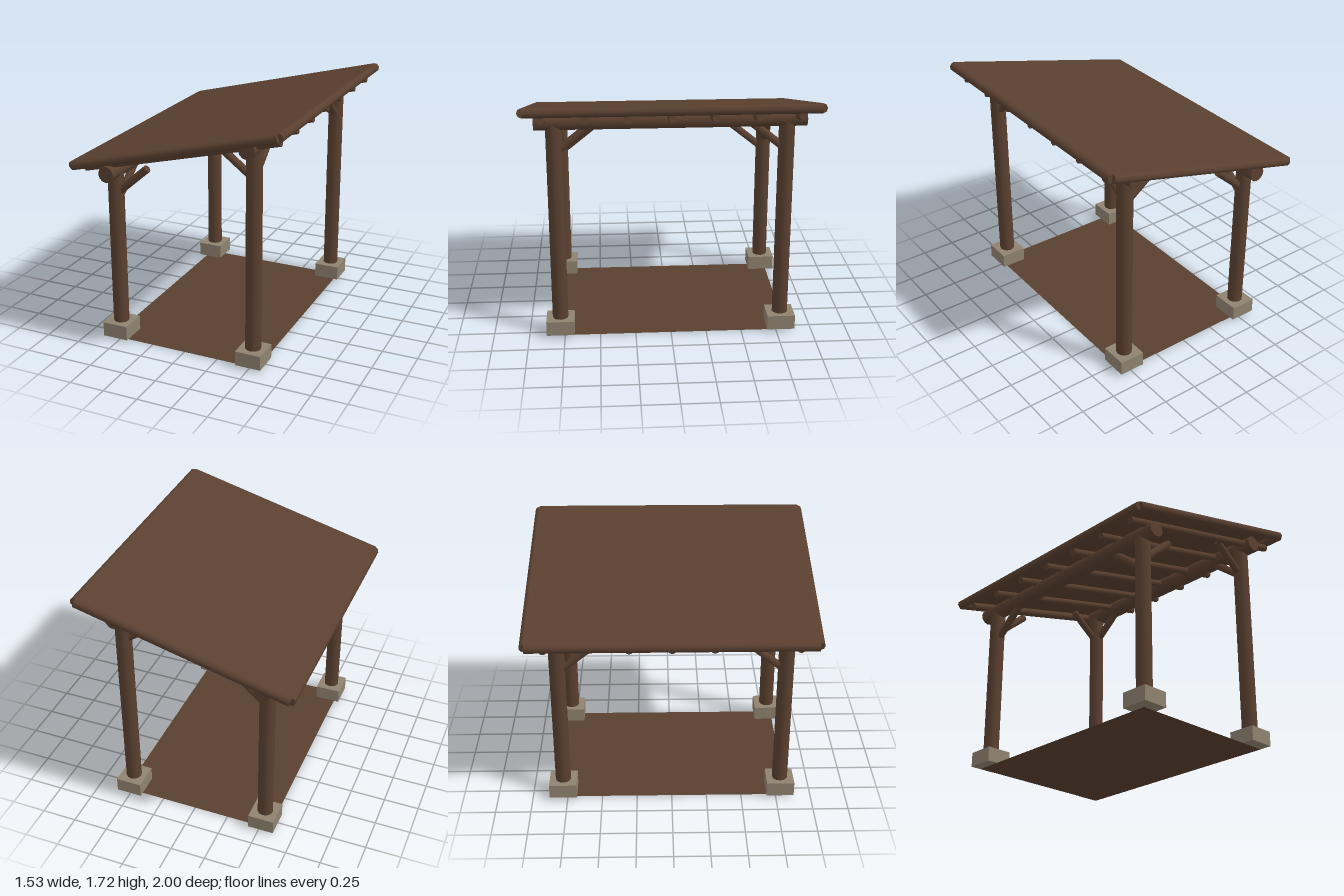
import * as THREE from 'three';

const wood = new THREE.MeshStandardMaterial({ color: 0x5a4030, side: THREE.DoubleSide });
wood.name = 'wood';
const stone = new THREE.MeshStandardMaterial({ color: 0x8f8370 });
stone.name = 'stone';

const UP = new THREE.Vector3(0, 1, 0);

// Round timber between two points
function log(parent, name, from, to, radius, sides = 8) {
  const a = new THREE.Vector3(...from);
  const b = new THREE.Vector3(...to);
  const dir = b.clone().sub(a);
  const mesh = new THREE.Mesh(new THREE.CylinderGeometry(radius, radius, dir.length(), sides), wood);
  mesh.name = name;
  mesh.position.copy(a).add(b).multiplyScalar(0.5);
  mesh.quaternion.setFromUnitVectors(UP, dir.normalize());
  parent.add(mesh);
}

export function createModel() {
  const model = new THREE.Group();
  model.name = 'leanToShelter';

  // Low side and high side: post x, beam height, brace ends
  const rows = [
    { side: 'low', x: -0.52, beamY: 1.255, braceY: 1.08, braceTip: [-0.275, 1.293], sideBraceY: 1.01 },
    { side: 'high', x: 0.5, beamY: 1.56, braceY: 1.335, braceTip: [0.25, 1.525], sideBraceY: 1.34 },
  ];
  const postZ = 0.78;

  for (const { side, x, beamY, braceY, braceTip, sideBraceY } of rows) {
    log(model, side + 'Beam', [x, beamY, -0.91], [x, beamY, 0.91], 0.057, 12);
    for (const s of [1, -1]) {
      const z = s * postZ;
      const footing = new THREE.Mesh(new THREE.BoxGeometry(0.185, 0.104, 0.195), stone);
      footing.name = side + 'Footing';
      footing.position.set(x, 0.072, z);
      model.add(footing);

      log(model, side + 'Post', [x, 0.11, z], [x, beamY, z], 0.055, 12);
      // Braces across the slope and along the beam
      log(model, side + 'CrossBrace', [x, braceY, z], [...braceTip, z], 0.027);
      log(model, side + 'BeamBrace', [x, sideBraceY, z], [x, sideBraceY + 0.24, s * 0.48], 0.027);
    }
  }

  // Rafters
  for (let i = 0; i < 7; i++) {
    const z = -0.85 + (i * 1.7) / 6;
    log(model, 'rafter', [-0.705, 1.267, z], [0.705, 1.627, z], 0.027);
  }

  // Roof: a sheet framed by four edge logs, built flat and then tilted
  const roof = new THREE.Group();
  roof.name = 'roof';
  roof.position.y = 1.5;
  roof.rotation.z = Math.atan2(0.38, 1.47);
  const halfX = 0.758, halfZ = 0.967, r = 0.033;
  for (const s of [1, -1]) {
    log(roof, 'roofSideLog', [-halfX, 0, s * halfZ], [halfX, 0, s * halfZ], r);
    log(roof, 'roofEaveLog', [s * halfX, 0, -halfZ], [s * halfX, 0, halfZ], r);
  }
  const sheet = new THREE.Mesh(new THREE.PlaneGeometry(halfX * 2, halfZ * 2), wood);
  sheet.name = 'roofSheet';
  sheet.rotation.x = -Math.PI / 2;
  sheet.position.y = r;
  roof.add(sheet);
  model.add(roof);

  // Floor sheet
  const floor = new THREE.Mesh(new THREE.PlaneGeometry(1.12, 1.65), wood);
  floor.name = 'floor';
  floor.rotation.x = -Math.PI / 2;
  floor.position.x = -0.01;
  model.add(floor);

  return model;
}
